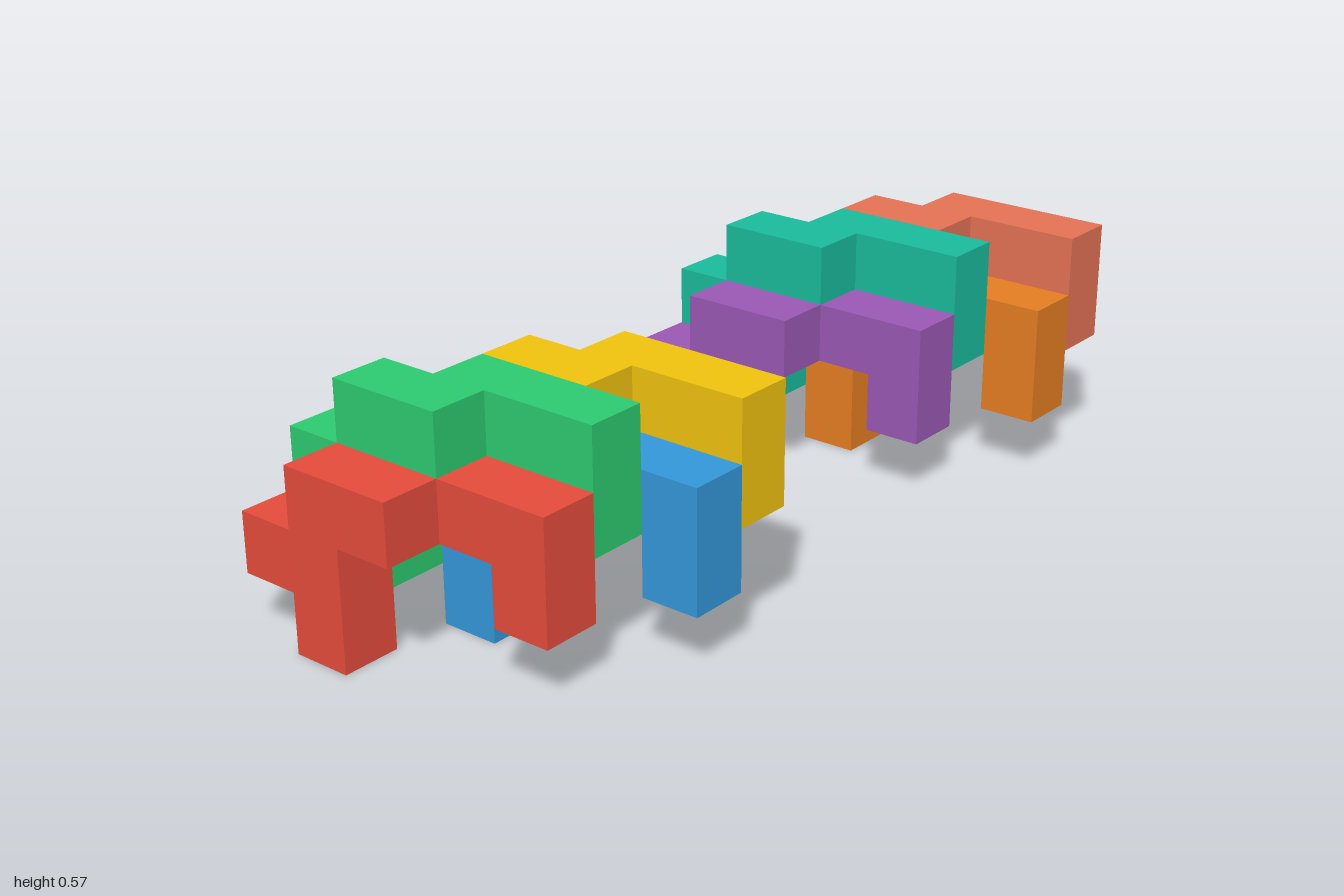
import * as THREE from 'three';
import { mergeGeometries } from 'three/addons/utils/BufferGeometryUtils.js';

const U = 1 / 7; // edge of one cube

// Cubes [x, y, z] of the polycube that every piece repeats
const CELLS = [
  [1, 3, 0], [1, 3, 1], [1, 3, 2], [1, 2, 2],             // hooked arm
  [0, 3, 0], [0, 3, -1], [0, 2, -1], [0, 1, -1], [0, 2, -2], // stem and side knob
];

// Outer skin of the polycube: one square for each cube face without a neighbour
function polycubeGeometry() {
  const filled = new Set(CELLS.map(String));
  const zAxis = new THREE.Vector3(0, 0, 1);
  const faces = [];
  for (const [x, y, z] of CELLS) {
    for (const d of [[1, 0, 0], [-1, 0, 0], [0, 1, 0], [0, -1, 0], [0, 0, 1], [0, 0, -1]]) {
      if (filled.has(String([x + d[0], y + d[1], z + d[2]]))) continue;
      const normal = new THREE.Vector3(...d);
      const face = new THREE.PlaneGeometry(U, U);
      face.applyQuaternion(new THREE.Quaternion().setFromUnitVectors(zAxis, normal));
      face.translate(
        (x + 0.5 + d[0] / 2) * U,
        (y + 0.5 + d[1] / 2) * U,
        (z + 0.5 + d[2] / 2) * U,
      );
      faces.push(face);
    }
  }
  return mergeGeometries(faces);
}

// Offsets in cubes of the four interlocking pieces of a cluster
const PIECES = [
  { name: 'outerUpperPiece', at: [3, 0, 0] },
  { name: 'outerLowerPiece', at: [2, -1, 0] },
  { name: 'innerUpperPiece', at: [1, 0, -1] },
  { name: 'innerLowerPiece', at: [0, -1, -1] },
];

function cluster(name, startX, colors, geometry) {
  const group = new THREE.Group();
  group.name = name;
  PIECES.forEach((piece, i) => {
    const mesh = new THREE.Mesh(geometry, new THREE.MeshStandardMaterial({ color: colors[i] }));
    mesh.name = piece.name;
    mesh.position.set(...piece.at).multiplyScalar(U);
    group.add(mesh);
  });
  group.position.x = startX * U;
  return group;
}

export function createModel() {
  const model = new THREE.Group();
  model.name = 'polycubeClusters';
  const geometry = polycubeGeometry();
  model.add(
    cluster('leftCluster', 2, [0xe57355, 0xe67e22, 0x1abc9c, 0x9b59b6], geometry),
    cluster('rightCluster', -7, [0xf1c40f, 0x3498db, 0x2ecc71, 0xe74c3c], geometry),
  );
  return model;
}
